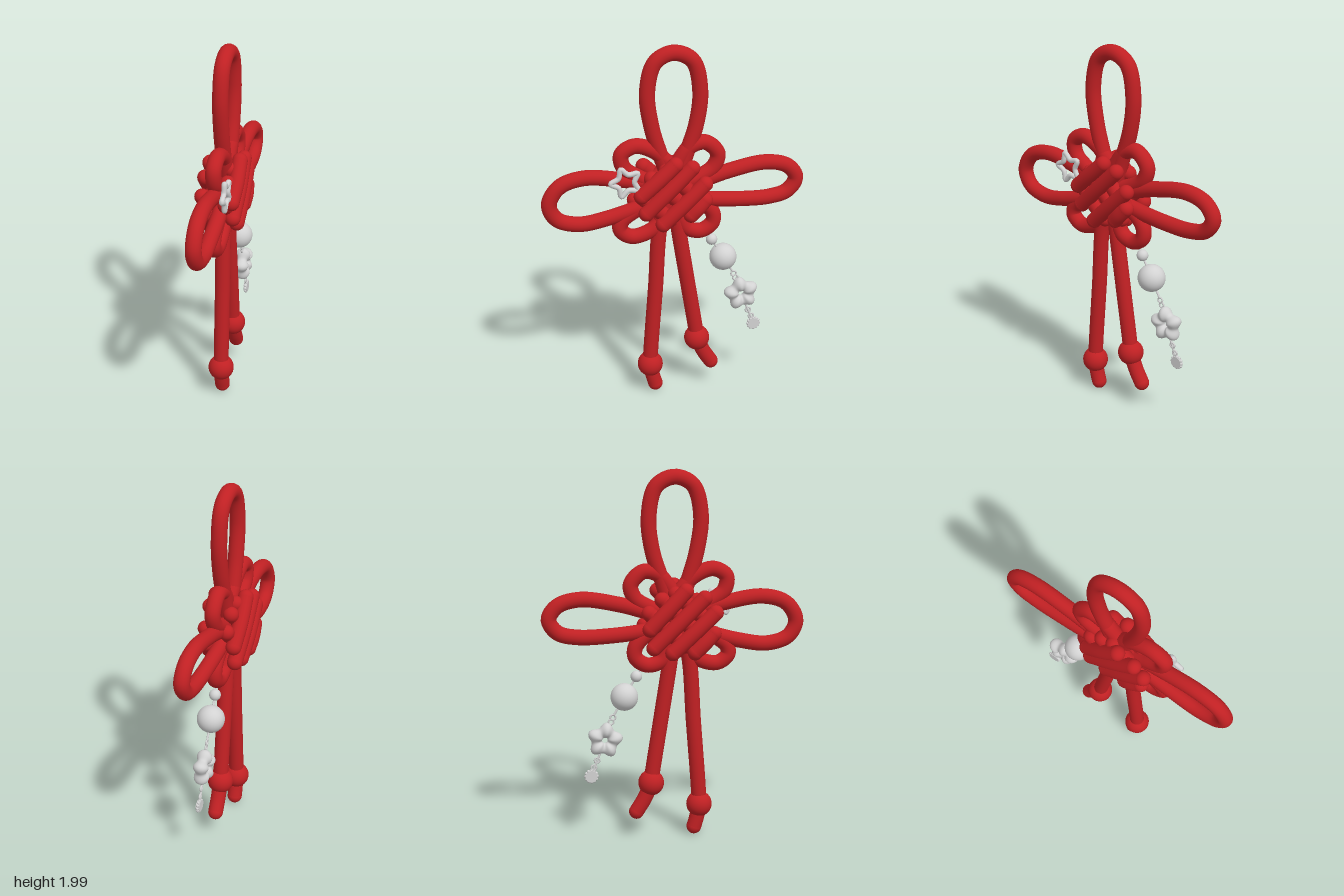
import * as THREE from 'three';
import { mergeVertices } from 'three/addons/utils/BufferGeometryUtils.js';

const CORD = 0.041;

export function createModel() {
  const model = new THREE.Group();
  const red = new THREE.MeshStandardMaterial({ name: 'redCord', color: 0xc02023 });
  const silver = new THREE.MeshStandardMaterial({ name: 'silver', color: 0xd2d2d2 });

  const add = (name, geometry, material, parent = model) => {
    const mesh = new THREE.Mesh(geometry, material);
    mesh.name = name;
    parent.add(mesh);
    return mesh;
  };
  const ball = (name, r, [z, y], material, x = 0, parent = model) => {
    const mesh = add(name, new THREE.SphereGeometry(r, 28, 20), material, parent);
    mesh.position.set(x, y, z);
    return mesh;
  };
  // Round cord through [z, y, x] points, with rounded ends
  const cord = (name, points, x = 0, r = CORD, material = red) => {
    const group = new THREE.Group();
    group.name = name;
    model.add(group);
    const path = points.map(([z, y, dx = 0]) => new THREE.Vector3(x + dx, y, z));
    const curve = new THREE.CatmullRomCurve3(path, false, 'centripetal');
    add(name + 'Length', new THREE.TubeGeometry(curve, points.length * 9, r, 18), material, group);
    for (const p of [path[0], path[path.length - 1]]) ball(name + 'End', r, [p.z, p.y], material, p.x, group);
    return group;
  };

  // Large loops
  cord('topLoop', [[0.01, 1.22], [0.07, 1.4], [0.12, 1.57], [0.142, 1.76], [0.1, 1.915], [0.005, 1.959],
    [-0.095, 1.912], [-0.135, 1.75], [-0.115, 1.57], [-0.06, 1.4], [-0.01, 1.22]]);
  cord('frontLoop', [[0.03, 1.24], [0.24, 1.285], [0.48, 1.32], [0.61, 1.28], [0.665, 1.185],
    [0.625, 1.1], [0.51, 1.063], [0.35, 1.085], [0.16, 1.135], [0.02, 1.16]]);
  cord('backLoop', [[0, 1.22], [-0.15, 1.255], [-0.29, 1.295], [-0.5, 1.328], [-0.62, 1.295], [-0.665, 1.225],
    [-0.62, 1.155], [-0.52, 1.128], [-0.34, 1.13], [-0.15, 1.15], [0, 1.18]]);

  // Small corner loops
  cord('upperFrontLoop', [[0, 1.3], [0.04, 1.37], [0.11, 1.44], [0.21, 1.475], [0.28, 1.435], [0.27, 1.36],
    [0.19, 1.3], [0.08, 1.24]]);
  cord('upperBackLoop', [[0.03, 1.29], [-0.02, 1.37], [-0.085, 1.45], [-0.165, 1.467], [-0.232, 1.4],
    [-0.212, 1.33], [-0.14, 1.28], [-0.04, 1.24]]);
  cord('lowerFrontLoop', [[0.02, 1.13], [0.06, 1.05], [0.14, 0.985], [0.235, 0.966], [0.293, 1.01],
    [0.283, 1.06], [0.2, 1.12], [0.08, 1.17]]);
  cord('lowerBackLoop', [[0, 1.13], [-0.03, 1.05], [-0.07, 0.985], [-0.145, 0.965], [-0.207, 1.005],
    [-0.21, 1.06], [-0.16, 1.12], [-0.04, 1.16]]);

  // Woven centre: diagonal wraps on one face, crossing wraps on the other
  const wraps = {
    rightWrap: [0.07, [[[0.19, 1.22], [0.01, 1.38]], [[0.165, 1.12], [-0.08, 1.355]],
      [[0.075, 1.05], [-0.15, 1.26]], [[-0.075, 1.09], [-0.15, 1.17]]]],
    leftWrap: [-0.079, [[[-0.14, 1.17], [0.05, 1.37]], [[-0.12, 1.07], [0.15, 1.33]],
      [[-0.02, 1.04], [0.21, 1.25]], [[0.1, 1.04], [0.2, 1.14]]]],
    innerRightWrap: [0.035, [[[-0.12, 1.16], [0.05, 1.34]], [[-0.09, 1.09], [0.13, 1.3]], [[0.03, 1.06], [0.18, 1.2]]]],
    innerLeftWrap: [-0.04, [[[0.15, 1.22], [0, 1.35]], [[0.13, 1.12], [-0.07, 1.32]], [[0.05, 1.07], [-0.14, 1.25]]]],
  };
  for (const [name, [x, bars]] of Object.entries(wraps)) {
    for (const [a, b] of bars) {
      const middle = [(a[0] + b[0]) / 2, (a[1] + b[1]) / 2, Math.sign(x) * 0.005];
      cord(name, [a, middle, b], x);
    }
  }

  // Hanging tails with stopper knots
  cord('frontTail', [[0.04, 1.15], [0.08, 1.0], [0.105, 0.65], [0.133, 0.28], [0.138, 0.175], [0.125, 0.1], [0.11, 0.047]]);
  ball('frontTailKnot', 0.07, [0.138, 0.175], red);
  cord('backTail', [[0, 1.15], [-0.02, 1.0], [-0.075, 0.65], [-0.118, 0.38], [-0.128, 0.31], [-0.165, 0.22], [-0.208, 0.15]]);
  ball('backTailKnot', 0.07, [-0.127, 0.31], red);

  // Silver pendant: wire, beads and rings
  cord('pendantWire', [[-0.175, 0.96], [-0.205, 0.905], [-0.27, 0.795], [-0.325, 0.7]], 0, 0.006, silver);
  cord('lowerWire', [[-0.405, 0.485], [-0.425, 0.435], [-0.445, 0.385]], 0, 0.006, silver);
  ball('smallBead', 0.031, [-0.205, 0.905], silver);
  ball('largeBead', 0.074, [-0.27, 0.795], silver);

  // Ornaments are made in the XY plane, then turned to face sideways
  const faceSide = (mesh, z, y, x = 0) => {
    mesh.position.set(x, y, z);
    mesh.rotation.y = Math.PI / 2;
  };
  for (const [z, y] of [[-0.332, 0.685], [-0.342, 0.66], [-0.42, 0.45], [-0.438, 0.41]]) {
    faceSide(add('linkRing', new THREE.TorusGeometry(0.014, 0.005, 8, 20), silver), z, y);
  }

  // Five-petalled flower: a ring swollen at each petal
  const flower = new THREE.TorusGeometry(0.05, 0.035, 20, 80);
  const pos = flower.attributes.position;
  for (let i = 0; i < pos.count; i++) {
    const x = pos.getX(i), y = pos.getY(i), r = Math.hypot(x, y), a = Math.atan2(y, x);
    const swell = Math.cos(5 * (a - 1.74));
    const grow = r > 0.02 ? (r - 0.015) / 0.07 : 0;
    const s = 1 + 0.15 * swell * grow;
    pos.setXYZ(i, x * s, y * s, pos.getZ(i) * (1 + 0.2 * swell));
  }
  flower.deleteAttribute('uv');
  flower.deleteAttribute('normal');
  const smoothFlower = mergeVertices(flower, 1e-5);
  smoothFlower.computeVertexNormals();
  faceSide(add('flowerCharm', smoothFlower, silver), -0.377, 0.56);

  // Scalloped end charm
  const disc = new THREE.Group();
  disc.name = 'endCharm';
  model.add(disc);
  const plate = add('endCharmPlate', new THREE.CylinderGeometry(0.032, 0.032, 0.02, 24), silver, disc);
  plate.rotation.x = Math.PI / 2;
  for (let i = 0; i < 12; i++) {
    const a = (i / 12) * Math.PI * 2;
    const scallop = add('endCharmScallop', new THREE.SphereGeometry(0.009, 10, 8), silver, disc);
    scallop.position.set(Math.cos(a) * 0.031, Math.sin(a) * 0.031, 0);
  }
  faceSide(disc, -0.452, 0.362);

  // Open star outline
  const starPoints = Array.from({ length: 10 }, (_, i) => {
    const a = 1.9 + (i * Math.PI) / 5, r = i % 2 ? 0.046 : 0.079;
    return new THREE.Vector3(Math.cos(a) * r, Math.sin(a) * r, 0);
  });
  const starCurve = new THREE.CatmullRomCurve3(starPoints, true);
  faceSide(add('starCharm', new THREE.TubeGeometry(starCurve, 100, 0.014, 12, true), silver), 0.27, 1.3, 0.06);

  return model;
}
